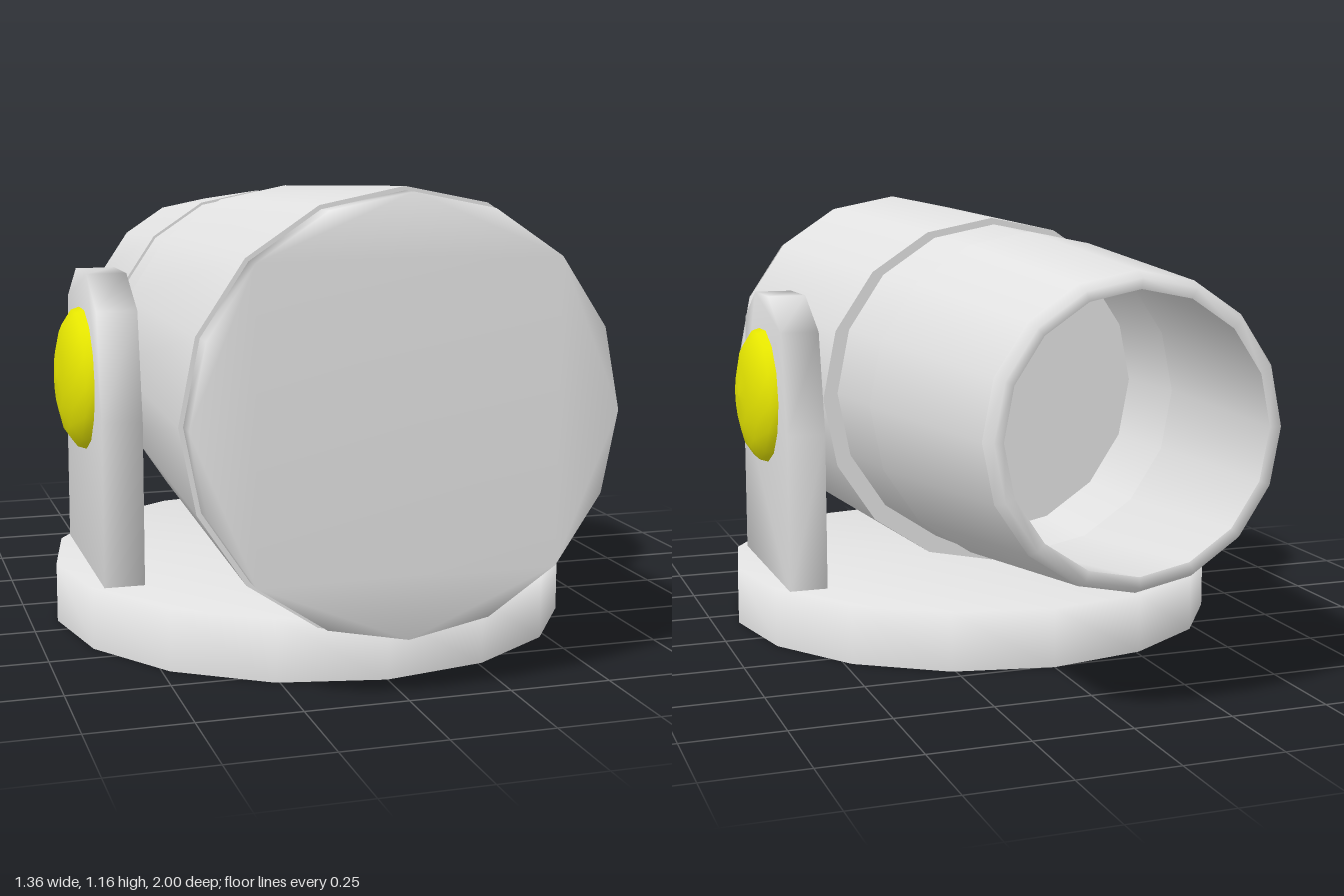
import * as THREE from 'three';
import { mergeGeometries, mergeVertices } from 'three/addons/utils/BufferGeometryUtils.js';

const profile = (points) => points.map(([a, b]) => new THREE.Vector2(a, b));

// Turned surface from [radius, height] points: smooth around, sharp at each profile corner
function turned(points, sides = 16) {
  const bands = [];
  for (let i = 0; i < points.length - 1; i++) {
    bands.push(new THREE.LatheGeometry(profile([points[i], points[i + 1]]), sides));
  }
  return mergeGeometries(bands);
}

// Extruded outline whose normals flow softly over the edges
function softSlab(outline, depth) {
  const slab = new THREE.ExtrudeGeometry(new THREE.Shape(outline), { depth, bevelEnabled: false });
  slab.deleteAttribute('normal');
  slab.deleteAttribute('uv');
  const welded = mergeVertices(slab);
  welded.computeVertexNormals();
  return welded;
}

export function createModel() {
  const model = new THREE.Group();
  model.name = 'spotlight';

  // Double sided because the base is an open shell
  const grey = new THREE.MeshStandardMaterial({ color: 0xe2e2e2, side: THREE.DoubleSide });
  grey.name = 'light grey';
  const yellow = new THREE.MeshStandardMaterial({ color: 0xe6e600 });
  yellow.name = 'yellow';

  const add = (name, geometry, material, parent = model) => {
    const mesh = new THREE.Mesh(geometry, material);
    mesh.name = name;
    parent.add(mesh);
    return mesh;
  };

  // Round base: a thin cup, open underneath
  const base = new THREE.LatheGeometry(profile([[0.68, 0], [0.68, 0.155], [0, 0.155]]), 16);
  add('base', base, grey).position.z = 0.17;

  // Front housing
  const housing = turned([[0, -0.02], [0.478, -0.02], [0.515, 0.94], [0.5, 0.94]]).rotateX(Math.PI / 2);
  add('housing', housing, grey).position.set(-0.003, 0.647, 0);

  // Flat sixteen-sided lens plate
  const lensOutline = [];
  for (let i = 0; i < 16; i++) {
    const a = (i * Math.PI) / 8;
    lensOutline.push(new THREE.Vector2(0.504 * Math.cos(a), 0.504 * Math.sin(a)));
  }
  add('lens', softSlab(lensOutline, 0.07), grey).position.set(-0.003, 0.648, 0.93);

  // Neck and open rear barrel, tipped up very slightly towards the back
  const rear = new THREE.Group();
  rear.name = 'rearBarrel';
  rear.position.set(-0.01, 0.662, 0);
  rear.rotation.x = 0.016;
  model.add(rear);
  const neck = turned([[0.425, -0.31], [0.447, 0]]).rotateX(Math.PI / 2);
  add('neck', neck, grey, rear);
  const tube = turned([
    [0.41, -0.02], [0.41, -0.3], [0.325, -0.99],
  ]).rotateX(Math.PI / 2);
  add('bore', tube, grey, rear);
  const lip = new THREE.LatheGeometry(profile([[0.325, -0.99], [0.35, -0.996], [0.367, -0.965]]), 16);
  add('rearLip', lip.rotateX(Math.PI / 2), grey, rear);
  const shell = turned([[0.367, -0.965], [0.433, -0.295], [0.41, -0.295]]).rotateX(Math.PI / 2);
  add('rearTube', shell, grey, rear);

  // Support arm outline, drawn as [-z, y]
  const armOutline = profile([
    [-0.435, 0.135], [-0.435, 0.57], [-0.385, 0.84], [-0.245, 0.92],
    [-0.075, 0.92], [0.07, 0.835], [0.125, 0.57], [0.125, 0.135],
  ]);

  // Domed pivot knob profile
  const knobCurve = profile([[0.185, 0], [0.178, 0.022], [0.14, 0.048], [0.08, 0.064], [0, 0.07]]);

  for (const [side, label] of [[1, 'left'], [-1, 'right']]) {
    const arm = softSlab(armOutline, 0.102).rotateY(Math.PI / 2);
    add(label + 'Arm', arm, grey).position.x = side > 0 ? 0.497 : -0.599;

    const knob = new THREE.LatheGeometry(knobCurve, 14).rotateZ(-side * Math.PI / 2);
    add(label + 'Knob', knob, yellow).position.set(side * 0.599, 0.643, 0.157);
  }

  return model;
}
